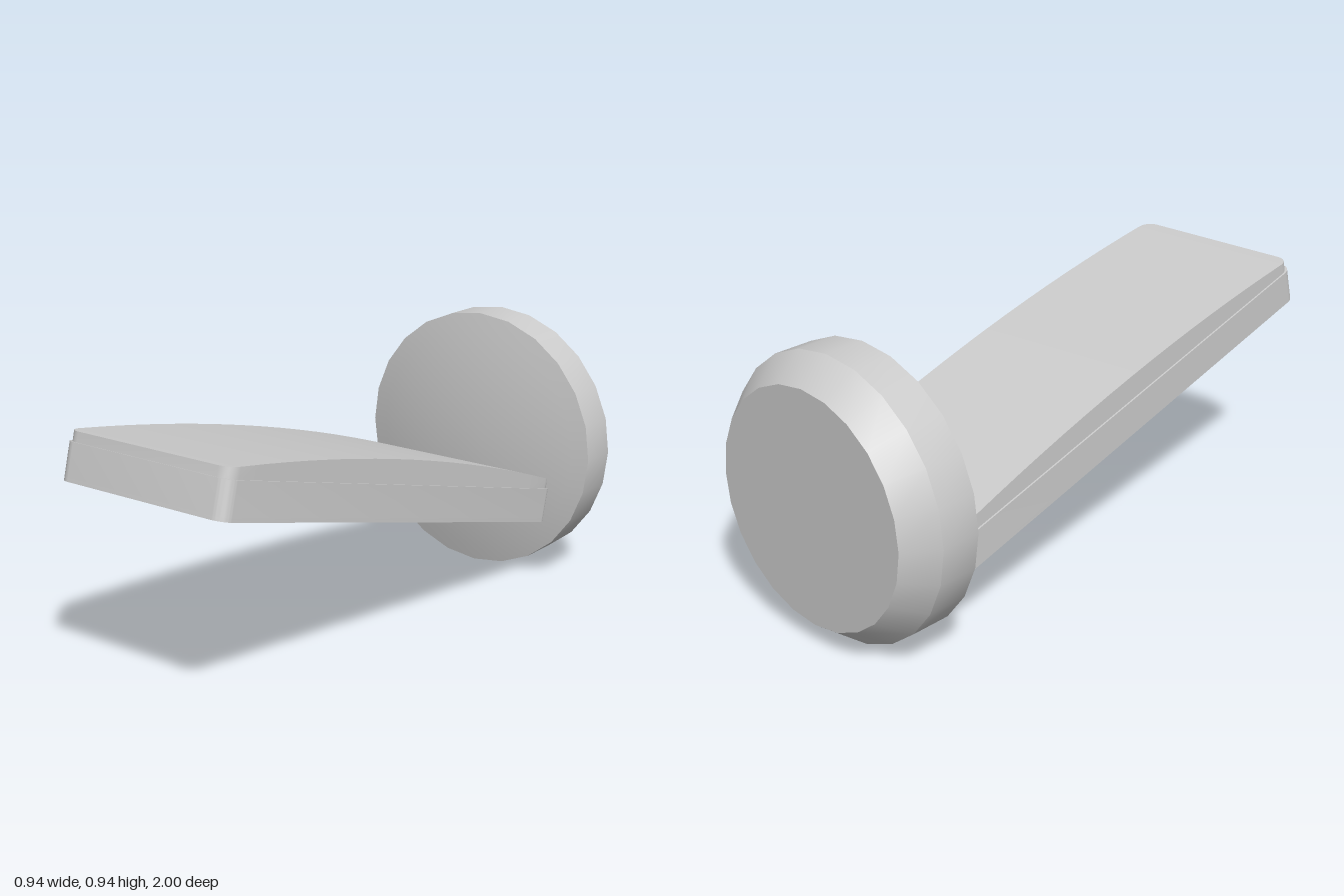
import * as THREE from 'three';
import { toCreasedNormals } from 'three/addons/utils/BufferGeometryUtils.js';

const LENGTH = 1.79, BODY_H = 0.12;
const material = new THREE.MeshStandardMaterial({ color: 0xcccccc });

function mesh(name, geometry, crease = 0.5) {
  const m = new THREE.Mesh(toCreasedNormals(geometry, crease), material);
  m.name = name;
  return m;
}

// Rectangle in (x, distance along the arm), optionally with round corners
function rect(halfW, start, end, r = 0) {
  const s = new THREE.Shape();
  if (!r) {
    s.moveTo(-halfW, start).lineTo(halfW, start).lineTo(halfW, end).lineTo(-halfW, end);
    s.closePath();
    return s;
  }
  s.moveTo(-halfW + r, start);
  s.absarc(halfW - r, start + r, r, -Math.PI / 2, 0);
  s.absarc(halfW - r, end - r, r, 0, Math.PI / 2);
  s.absarc(-halfW + r, end - r, r, Math.PI / 2, Math.PI);
  s.absarc(-halfW + r, start + r, r, Math.PI, Math.PI * 1.5);
  return s;
}

function circle(radius, cy) {
  return new THREE.Shape().absarc(0, cy, radius, 0, Math.PI * 2);
}

// Slab lying along the arm (towards -z) between two heights
function slab(name, shape, from, to) {
  const g = new THREE.ExtrudeGeometry(shape, { depth: to - from, bevelEnabled: false, curveSegments: 8 });
  g.rotateX(-Math.PI / 2).translate(0, from, 0);
  return mesh(name, g);
}

// Arched lid: a box whose stations follow rounded corners and a curved top
function lidGeometry() {
  const halfW = 0.322, r = 0.045, start = 0.006, end = LENGTH - 0.006;
  const stations = [];
  for (let i = 0; i <= 6; i++) stations.push(start + r * (1 - Math.cos(i / 6 * Math.PI / 2)));
  for (let i = 1; i < 16; i++) stations.push(start + r + (end - start - 2 * r) * i / 16);
  for (let i = 6; i >= 0; i--) stations.push(end - r * (1 - Math.cos(i / 6 * Math.PI / 2)));
  const n = stations.length - 1;
  const g = new THREE.BoxGeometry(2, 1, 1, 1, 1, n);
  const p = g.attributes.position;
  for (let i = 0; i < p.count; i++) {
    const u = stations[Math.round((0.5 - p.getZ(i)) * n)];
    const d = Math.max(0, r - Math.min(u - start, end - u));
    const w = halfW - r + Math.sqrt(Math.max(0, r * r - d * d));
    const k = 2 * (u - start) / (end - start) - 1;
    const top = 0.201 - 0.048 * k * k;
    p.setXYZ(i, p.getX(i) * w, p.getY(i) > 0 ? top : BODY_H, -u);
  }
  return g;
}

export function createModel() {
  const model = new THREE.Group();
  model.name = 'wallLamp';

  // Round wall mount with chamfered back and domed front
  const profile = [[0, -1], [0.39, -1], [0.469, -0.9], [0.469, -0.76]];
  for (let i = 7; i >= 0; i--) {
    const t = i / 8;
    profile.push([0.469 * t, -0.71 - 0.05 * t * t]);
  }
  const disc = new THREE.LatheGeometry(profile.map(([r, z]) => new THREE.Vector2(r, z)), 24);
  disc.rotateX(Math.PI / 2).translate(0, 0.47, 0);
  model.add(mesh('wallMount', disc));

  // Tilted arm, origin at its lower front edge
  const arm = new THREE.Group();
  arm.name = 'arm';
  arm.position.set(0, 0.686, 1);
  arm.rotation.x = -Math.PI / 12;
  model.add(arm);

  const groove = 0.012, ringAt = 0.162;
  const underside = rect(0.328, 0, LENGTH, 0.045);
  underside.holes.push(circle(0.083, ringAt));
  arm.add(slab('armUnderside', underside, 0, groove));
  arm.add(slab('armBody', rect(0.328, 0, LENGTH, 0.045), groove, BODY_H));
  arm.add(slab('roundButton', circle(0.071, ringAt), 0, groove));
  arm.add(mesh('armLid', lidGeometry()));

  // Raised panel with a recessed window under the arm
  const frame = rect(0.132, 1.02, 1.227);
  frame.holes.push(rect(0.077, 1.06, 1.183));
  arm.add(slab('panelFrame', frame, -0.013, -0.007));
  arm.add(slab('panelBase', rect(0.132, 1.02, 1.227), -0.007, 0));

  return model;
}
